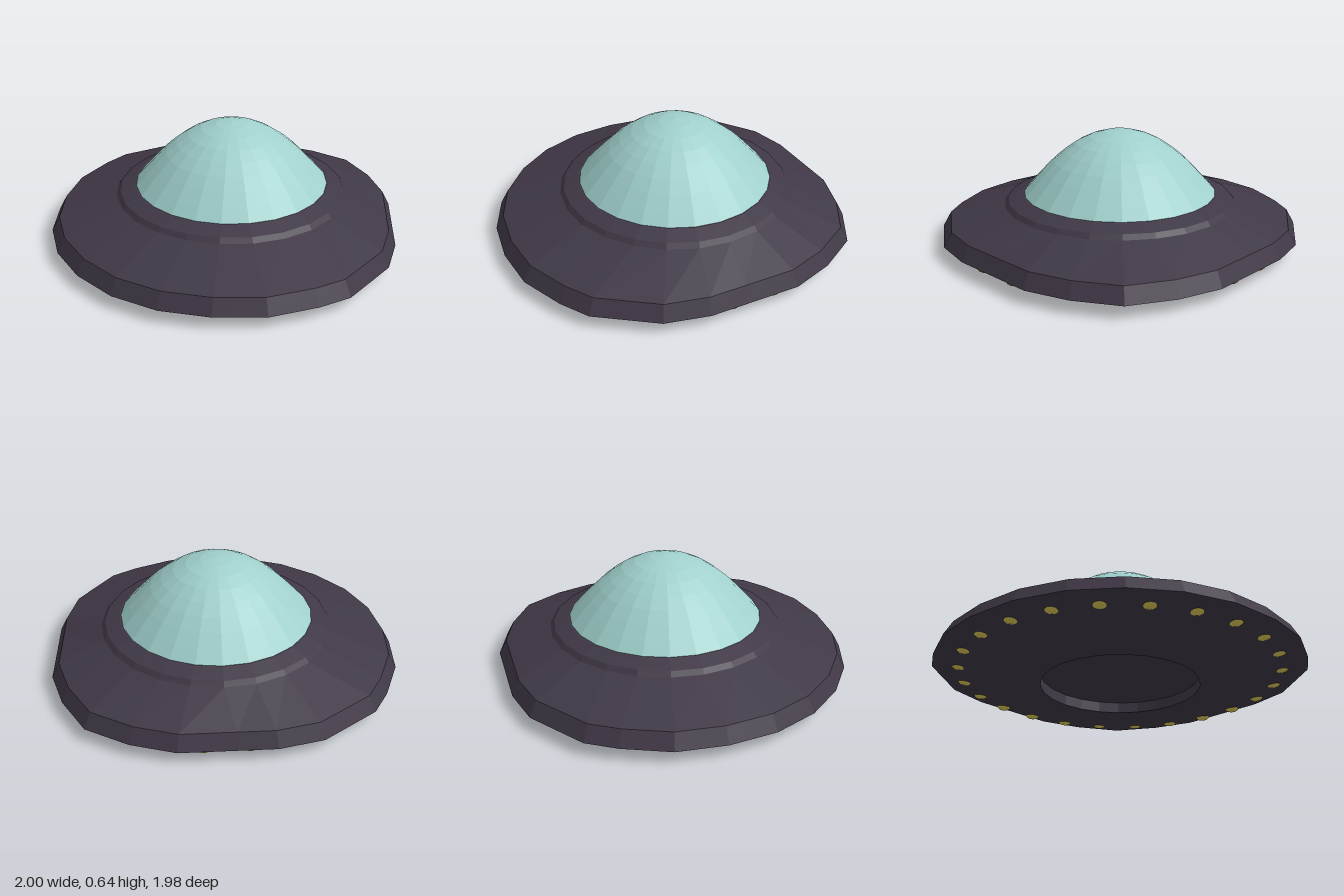
import * as THREE from 'three';

const SEGMENTS = 24;
const CENTRE_Z = -0.01;

// Half of the rim outline as [x, z], from the back tip round to the front
const HALF_RIM = [
  [0, -0.99], [0.25, -0.925], [0.465, -0.815], [0.67, -0.61], [0.81, -0.47],
  [0.936, -0.27], [1, 0.08], [0.963, 0.25], [0.87, 0.49], [0.706, 0.69],
  [0.5, 0.853], [0.26, 0.954], [0, 0.986],
];

// Ring of points on a circle
function circle(radius, y) {
  return Array.from({ length: SEGMENTS }, (_, k) => {
    const a = (k / SEGMENTS) * Math.PI * 2;
    return [Math.sin(a) * radius, y, CENTRE_Z - Math.cos(a) * radius];
  });
}

// Ring of points on the uneven rim, mirrored left to right
function rim(scale, y) {
  return Array.from({ length: SEGMENTS }, (_, k) => {
    const [x, z] = HALF_RIM[k <= 12 ? k : SEGMENTS - k];
    return [(k <= 12 ? x : -x) * scale, y, z * scale];
  });
}

// Faceted skin through a list of rings
function loft(rings) {
  const index = [];
  for (let i = 0; i < rings.length - 1; i++) {
    for (let k = 0; k < SEGMENTS; k++) {
      const n = (k + 1) % SEGMENTS;
      const a = i * SEGMENTS + k, b = i * SEGMENTS + n;
      const c = a + SEGMENTS, d = b + SEGMENTS;
      index.push(a, c, b, b, c, d);
    }
  }
  const geometry = new THREE.BufferGeometry();
  geometry.setAttribute('position', new THREE.Float32BufferAttribute(rings.flat(2), 3));
  geometry.setIndex(index);
  const faceted = geometry.toNonIndexed();
  faceted.computeVertexNormals();
  return faceted;
}

function material(name, color) {
  const m = new THREE.MeshStandardMaterial({ color });
  m.name = name;
  return m;
}

export function createModel() {
  const group = new THREE.Group();
  group.name = 'saucer';
  const hullPaint = material('dark plum', 0x403846);
  const glass = material('pale teal', 0xa0d0cc);
  const lamp = material('yellow', 0xe0cc58);

  const add = (name, geometry, mat) => {
    const mesh = new THREE.Mesh(geometry, mat);
    mesh.name = name;
    group.add(mesh);
    return mesh;
  };

  // Hull: recessed belly, shallow cone, bevelled rim, sloping deck and collar
  add('hull', loft([
    circle(0, 0.06), circle(0.43, 0.06), circle(0.43, 0),
    rim(1, 0.07), rim(0.955, 0.15),
    circle(0.635, 0.25), circle(0.615, 0.275), circle(0.535, 0.303), circle(0, 0.303),
  ]), hullPaint);

  // Dome
  const domeProfile = [
    [0.533, 0.295], [0.475, 0.36], [0.415, 0.425], [0.36, 0.48], [0.3, 0.53],
    [0.235, 0.575], [0.165, 0.61], [0.085, 0.635], [0, 0.645],
  ];
  add('dome', loft(domeProfile.map(([r, y]) => circle(r, y))), glass);

  // Lamps set into the underside
  const bulb = new THREE.SphereGeometry(0.04, 12, 8).scale(1, 0.5, 1);
  for (let k = 0; k < SEGMENTS; k++) {
    const a = ((k + 0.5) / SEGMENTS) * Math.PI * 2;
    add('lamp', bulb, lamp).position.set(
      Math.sin(a) * 0.86, 0.065, CENTRE_Z - Math.cos(a) * 0.86);
  }
  return group;
}
